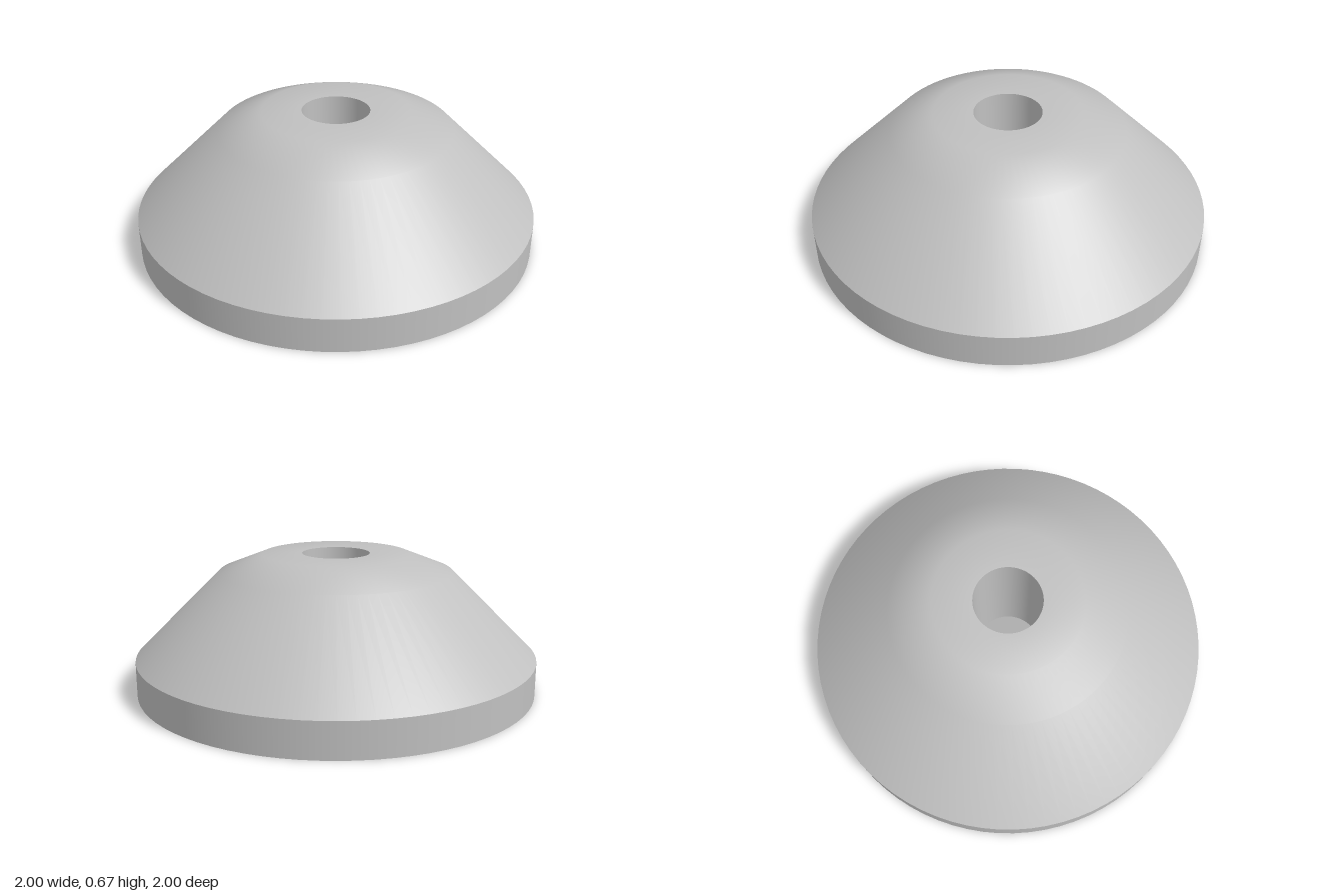
import * as THREE from 'three';

const SEGMENTS = 80;
const BORE = 0.168, RIM = 0.17, TOP = 0.67;

export function createModel() {
  const group = new THREE.Group();
  group.name = 'conicalWasher';
  const metal = new THREE.MeshStandardMaterial({ color: 0xc0c0c0 });
  metal.name = 'light grey metal';

  // Each surface is its own lathe, so the edges between them stay sharp
  const addLathe = (name, profile) => {
    const points = profile.map(([r, y]) => new THREE.Vector2(r, y));
    const mesh = new THREE.Mesh(new THREE.LatheGeometry(points, SEGMENTS), metal);
    mesh.name = name;
    group.add(mesh);
  };

  // Flat underside, running outward from the bore
  addLathe('underside', [[BORE, 0], [1, 0]]);
  // Upright rim
  addLathe('rim', [[1, 0], [1, RIM]]);
  // Sloping body, shoulder bevel and top, smoothly shaded
  addLathe('slopingBody', [[1, RIM], [0.58, 0.585], [0.365, TOP], [BORE, TOP]]);
  // Through hole, facing the axis
  addLathe('bore', [[BORE, TOP], [BORE, 0]]);

  return group;
}
